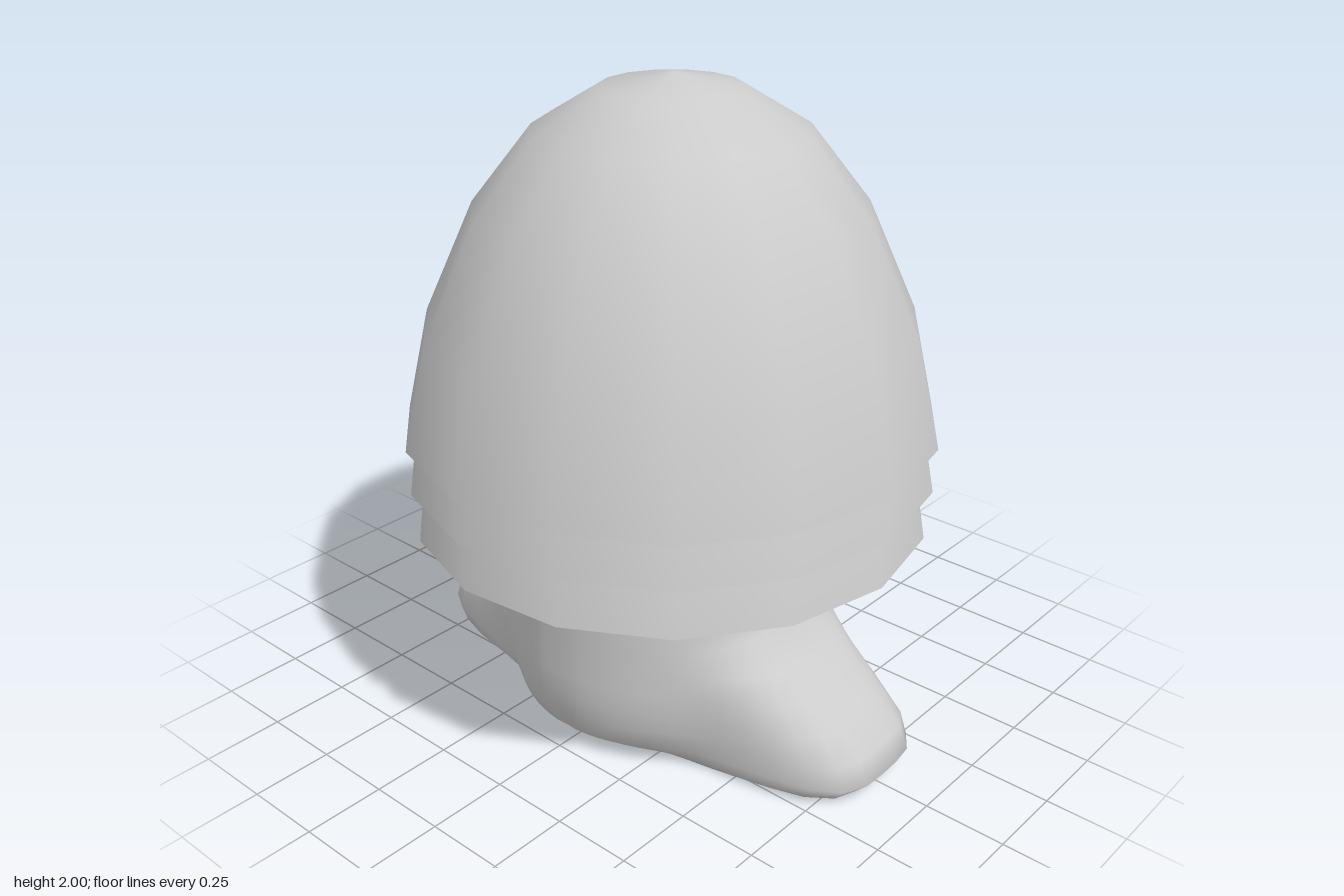
import * as THREE from 'three';

const SIDES = 72;

// One open bell-shaped shell, 15 sided with smooth shading
function makeShell(name, scale, drop, material) {
  const profile = [[0.8, 0.965], [0.727, 1.28], [0.575, 1.615], [0.395, 1.845], [0.205, 1.96], [0, 2]]
    .map(([r, y]) => new THREE.Vector2(r * scale, y - drop));
  const shell = new THREE.Mesh(new THREE.LatheGeometry(profile, 15), material);
  shell.name = name;
  shell.position.set(-0.03, 0, 0.042);
  return shell;
}

// Root plan outline: distance to a rounded bar of given length and half width
function rootRadius(angle, length, width) {
  const c = Math.cos(angle);
  if (c <= 0) return 0;
  return Math.pow((c / length) ** 4 + (Math.abs(Math.sin(angle)) / width) ** 4, -0.25);
}

// Roots: direction (0 = front, 90 = left side), half width, extra reach low down
const ROOTS = [
  { dir: 2, width: 0.27 },
  { dir: 90, width: 0.2 },
  { dir: 178, width: 0.27 },
].map((r) => ({ ...r, dir: THREE.MathUtils.degToRad(r.dir) }));

// Cross-sections of the stem: height, trunk radius, root length
const SECTIONS = [
  [0, 0.33, 0.66], [0.02, 0.38, 0.82], [0.06, 0.435, 0.86], [0.13, 0.455, 0.83],
  [0.2, 0.47, 0.745], [0.27, 0.47, 0.645], [0.34, 0.47, 0.54], [0.42, 0.47, 0.36],
  [0.5, 0.472, 0.25], [0.67, 0.47, 0.2], [1.05, 0.46, 0.2],
];

// Trunk flowing into three spreading roots, lofted through the sections
function makeStem(material) {
  const positions = [];
  const index = [];
  for (const [y, trunk, length] of SECTIONS) {
    for (let i = 0; i < SIDES; i++) {
      const a = (i / SIDES) * Math.PI * 2;
      let sum = trunk ** 6;
      for (const root of ROOTS) sum += rootRadius(a - root.dir, length, root.width) ** 6;
      const r = sum ** (1 / 6);
      positions.push(r * Math.sin(a) - 0.03, y, r * Math.cos(a));
    }
  }
  const rows = SECTIONS.length;
  const bottom = rows * SIDES;
  positions.push(-0.03, 0, 0, -0.03, SECTIONS[rows - 1][0], 0);
  for (let i = 0; i < SIDES; i++) {
    const j = (i + 1) % SIDES;
    for (let k = 0; k < rows - 1; k++) {
      const a = k * SIDES + i, b = k * SIDES + j;
      index.push(a, b, b + SIDES, a, b + SIDES, a + SIDES);
    }
    const top = (rows - 1) * SIDES;
    index.push(bottom, j, i, bottom + 1, top + i, top + j);
  }
  const geometry = new THREE.BufferGeometry();
  geometry.setAttribute('position', new THREE.Float32BufferAttribute(positions, 3));
  geometry.setIndex(index);
  geometry.computeVertexNormals();
  const stem = new THREE.Mesh(geometry, material);
  stem.name = 'trunkWithRoots';
  return stem;
}

export function createModel() {
  const model = new THREE.Group();
  model.name = 'layeredTree';
  const solid = new THREE.MeshStandardMaterial({ color: 0xcccccc });
  const thin = new THREE.MeshStandardMaterial({ color: 0xcccccc, side: THREE.DoubleSide });

  model.add(makeStem(solid));

  // Three nested shells, each lower one slightly smaller
  model.add(makeShell('upperCanopy', 1, 0, thin));
  model.add(makeShell('middleCanopy', 0.992, 0.138, thin));
  model.add(makeShell('lowerCanopy', 0.972, 0.292, thin));
  return model;
}
